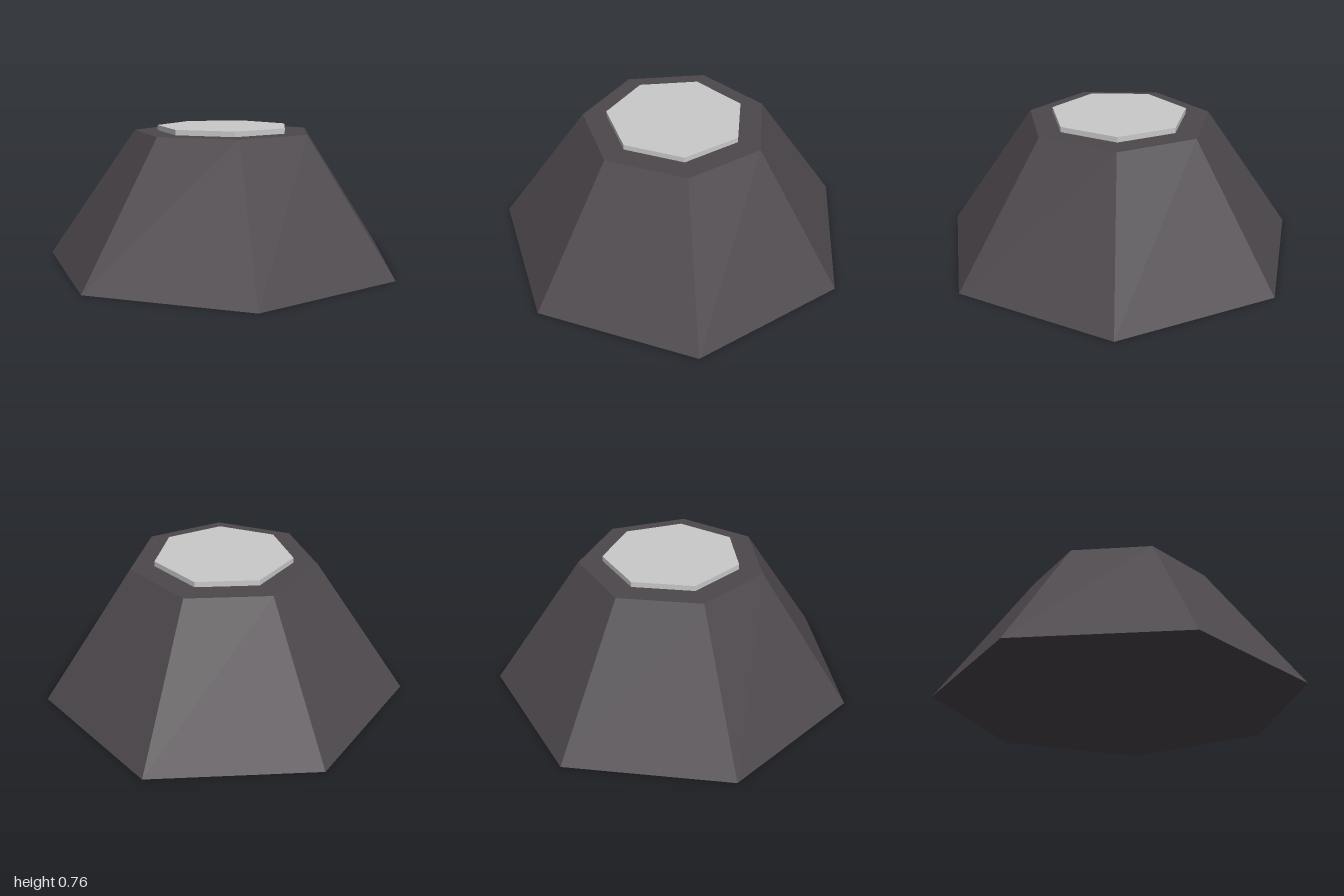
import * as THREE from 'three';

const SIDES = 7;
const CENTER_X = 0.051; // centres the heptagon's bounding box on x = 0

export function createModel() {
  const group = new THREE.Group();
  const darkStone = new THREE.MeshStandardMaterial({ color: 0x4d484c, flatShading: true });
  darkStone.name = 'darkStone';
  const paleGrey = new THREE.MeshStandardMaterial({ color: 0xcacaca, flatShading: true });
  paleGrey.name = 'paleGrey';

  // Seven-sided prism or frustum with one corner pointing to -x
  const addTier = (name, topRadius, bottomRadius, y0, y1, material) => {
    const geometry = new THREE.CylinderGeometry(
      topRadius, bottomRadius, y1 - y0, SIDES, 1, false, -Math.PI / 2);
    const mesh = new THREE.Mesh(geometry, material);
    mesh.name = name;
    mesh.position.set(CENTER_X, (y0 + y1) / 2, 0);
    group.add(mesh);
  };

  addTier('taperedBase', 0.513, 1.0257, 0, 0.733, darkStone);
  addTier('topPlate', 0.381, 0.381, 0.733, 0.762, paleGrey);

  return group;
}
